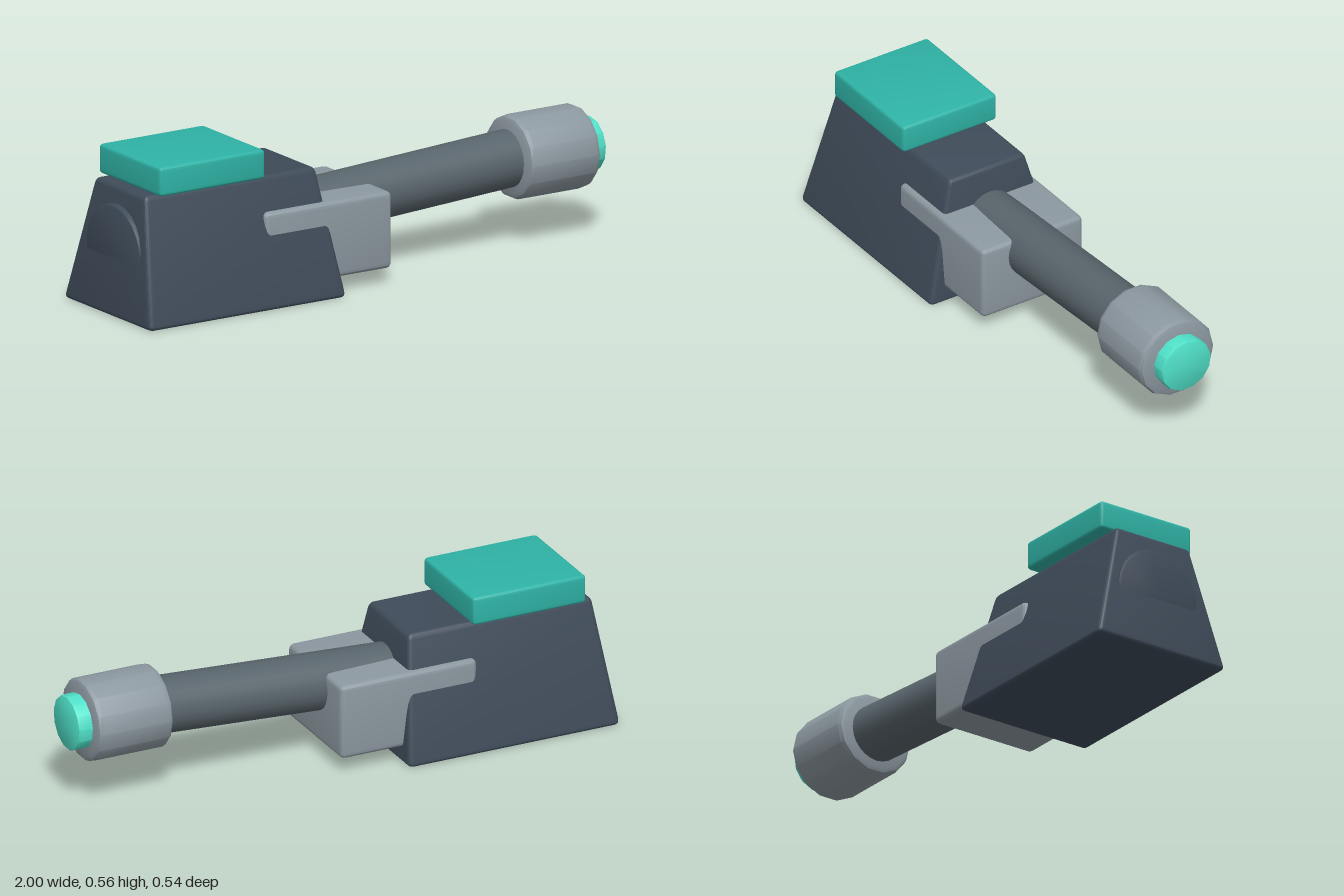
import * as THREE from 'three';
import { toCreasedNormals } from 'three/addons/utils/BufferGeometryUtils.js';
import { RoundedBoxGeometry } from 'three/addons/geometries/RoundedBoxGeometry.js';

const paint = (color) => new THREE.MeshStandardMaterial({ color });
const dark = paint(0x3f4b59);
const steel = paint(0x8c98a0);
const gunmetal = paint(0x58646b);
const teal = paint(0x2fb3a6);
const glow = paint(0x4fe0c8);

function part(name, geometry, material, x, y, z = 0) {
  const mesh = new THREE.Mesh(geometry, material);
  mesh.name = name;
  mesh.position.set(x, y, z);
  return mesh;
}

// Box with narrow rounded edges, optionally narrowed towards the top
function block(w, h, d, radius, taperX = 1, taperZ = 1) {
  const geo = new RoundedBoxGeometry(w, h, d, 2, radius);
  const p = geo.attributes.position;
  for (let i = 0; i < p.count; i++) {
    const t = p.getY(i) / h + 0.5;
    p.setX(i, p.getX(i) * (1 + (taperX - 1) * t));
    p.setZ(i, p.getZ(i) * (1 + (taperZ - 1) * t));
  }
  return toCreasedNormals(geo, 0.3);
}

// Solid cylinder along x with rounded rims; turn offsets the first corner
function drum(radius, length, sides, bevel, turn = 0) {
  const h = length / 2;
  const k = bevel * 0.3;
  const profile = [
    [0, -h], [radius - bevel, -h], [radius - k, -h + k], [radius, -h + bevel],
    [radius, h - bevel], [radius - k, h - k], [radius - bevel, h], [0, h],
  ].map(([r, y]) => new THREE.Vector2(r, y));
  const geo = new THREE.LatheGeometry(profile, sides);
  geo.rotateY(turn);
  geo.rotateZ(-Math.PI / 2);
  return toCreasedNormals(geo, 0.55);
}

export function createModel() {
  const group = new THREE.Group();

  // Housing with the lid on top and the round plate at the rear
  group.add(part('housing', block(0.816, 0.45, 0.546, 0.02, 0.863, 0.57), dark, -0.592, 0.225));
  group.add(part('lid', block(0.435, 0.105, 0.387, 0.014), teal, -0.688, 0.5025));
  group.add(part('rearPlate', drum(0.17, 0.2, 24, 0.012), dark, -0.875, 0.22));

  // Cradle holding the barrel
  group.add(part('cradle', block(0.525, 0.275, 0.416, 0.02), steel, -0.2175, 0.1925));

  // Slightly raised barrel
  const start = new THREE.Vector2(-0.36, 0.247);
  const end = new THREE.Vector2(0.72, 0.309);
  const span = end.clone().sub(start);
  const barrelGeo = new THREE.CylinderGeometry(0.102, 0.102, span.length(), 24);
  barrelGeo.rotateZ(-Math.PI / 2);
  const barrel = part('barrel', barrelGeo, gunmetal, (start.x + end.x) / 2, (start.y + end.y) / 2);
  barrel.rotation.z = span.angle();
  group.add(barrel);

  // Muzzle sleeve and its glowing end
  const muzzle = part('muzzle', drum(0.153, 0.29, 14, 0.02, Math.PI / 2 + Math.PI / 14), steel, 0.802, 0.3075);
  // a corner points sideways, flats face up and down
  muzzle.geometry = drum(0.153, 0.29, 14, 0.02, 0);
  muzzle.scale.y = 0.97;
  group.add(muzzle);
  const lens = part('muzzleLens', drum(0.102, 0.12, 13, 0.008, -Math.PI / 2), glow, 0.94, 0.307);
  lens.scale.y = 0.965;
  group.add(lens);

  return group;
}
